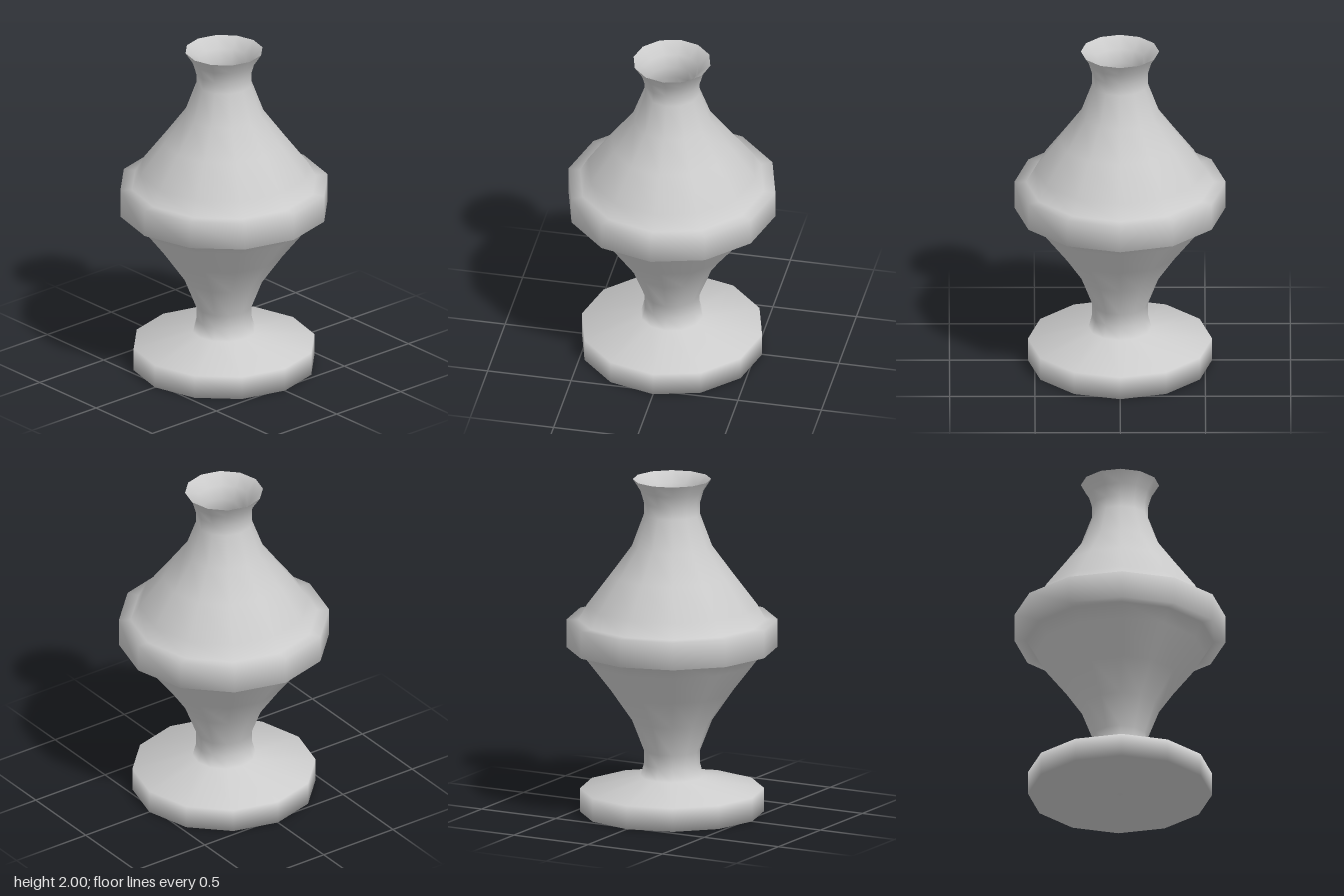
import * as THREE from 'three';

const SIDES = 12;

// Turns a radius/height profile into a smooth-shaded twelve-sided solid
function turned(name, profile, material) {
  const points = profile.map(([r, y]) => new THREE.Vector2(r, y));
  const mesh = new THREE.Mesh(new THREE.LatheGeometry(points, SIDES), material);
  mesh.name = name;
  return mesh;
}

export function createModel() {
  const group = new THREE.Group();
  group.name = 'vase';
  const material = new THREE.MeshStandardMaterial({ color: 0xcccccc });

  // Outside, from the underside of the foot up to the flared lip
  const outside = [
    [0, 0], [0.54, 0], [0.54, 0.14],                          // foot
    [0.185, 0.215], [0.165, 0.29], [0.165, 0.37],             // stem
    [0.235, 0.55], [0.36, 0.73], [0.5, 0.91], [0.55, 0.99],   // lower bowl
    [0.62, 0.99], [0.62, 1.155],                              // belt
    [0.55, 1.155], [0.5, 1.245], [0.36, 1.43], [0.235, 1.6],  // shoulder
    [0.165, 1.79], [0.165, 1.86], [0.185, 1.93], [0.23, 2],   // neck and lip
  ];
  group.add(turned('body', outside, material));

  // Hollow inside, from the lip down through the throat to the floor
  const inside = [
    [0.23, 2], [0.16, 1.94], [0.142, 1.86], [0.142, 1.79],
    [0.21, 1.6], [0.335, 1.43], [0.475, 1.245], [0.52, 1.155],
    [0.52, 0.99], [0.475, 0.91], [0.335, 0.73], [0.21, 0.55],
    [0.14, 0.37], [0, 0.3],
  ];
  group.add(turned('innerWall', inside, material));

  return group;
}
